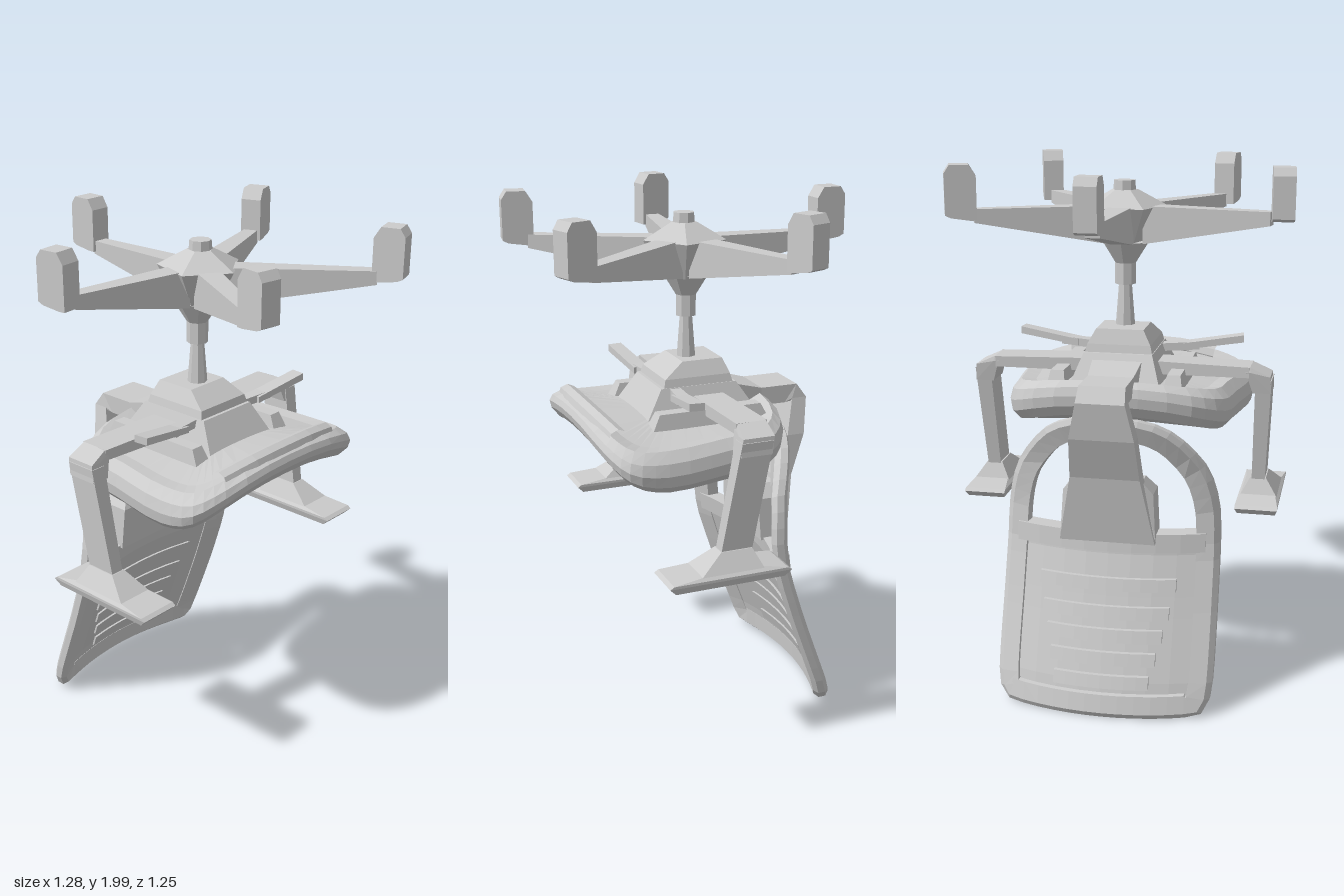
import * as THREE from 'three';
import { ConvexGeometry } from 'three/addons/geometries/ConvexGeometry.js';

const V = (x, y, z) => new THREE.Vector3(x, y, z);
const mat = new THREE.MeshStandardMaterial({ color: 0xcccccc, flatShading: true });

function add(parent, name, geometry) {
  const m = new THREE.Mesh(geometry, mat);
  m.name = name;
  parent.add(m);
  return m;
}

function group(parent, name) {
  const g = new THREE.Group();
  g.name = name;
  parent.add(g);
  return g;
}

// Horizontal rectangle of corners: centre x, y, z and half sizes
const rect = (x, y, z, hx, hz) => [[-1, -1], [1, -1], [1, 1], [-1, 1]].map(([a, b]) => V(x + a * hx, y, z + b * hz));
// Upright rectangle across a bar that runs in direction d
const across = (p, d, hw, hh) => [[-1, -1], [1, -1], [1, 1], [-1, 1]]
  .map(([a, b]) => V(p.x - d.z * a * hw, p.y + b * hh, p.z + d.x * a * hw));
const hull = (...rings) => new ConvexGeometry(rings.flat());

function bar(p, q, hw0, hh0, hw1, hh1) {
  const d = V(q.x - p.x, 0, q.z - p.z).normalize();
  return hull(across(p, d, hw0, hh0), across(q, d, hw1, hh1));
}

// Surface through a list of closed rings
function skin(rings, closed = false) {
  const n = rings[0].length, index = [];
  const last = closed ? rings.length : rings.length - 1;
  for (let r = 0; r < last; r++) {
    for (let i = 0; i < n; i++) {
      const a = r * n + i, b = r * n + (i + 1) % n;
      const s = (r + 1) % rings.length, c = s * n + i, d = s * n + (i + 1) % n;
      index.push(a, c, b, b, c, d);
    }
  }
  const g = new THREE.BufferGeometry().setFromPoints(rings.flat());
  g.setIndex(index);
  g.computeVertexNormals();
  return g;
}

// Depth of the backrest: reclined, with sides wrapping forward
const recline = [[0, -0.51], [0.1, -0.49], [0.4, -0.38], [0.6, -0.315], [0.75, -0.295], [0.92, -0.3], [1.2, -0.37]];
function backZ(x, y) {
  let i = 0;
  while (i < recline.length - 2 && y > recline[i + 1][0]) i++;
  const [y0, z0] = recline[i], [y1, z1] = recline[i + 1];
  return z0 + (z1 - z0) * (y - y0) / (y1 - y0) + 0.08 * (x / 0.41) ** 2;
}

// Box that follows the backrest surface
function bentBox(w, h, d, x, y, z) {
  const g = new THREE.BoxGeometry(w, h, d, 8, Math.max(1, Math.round(h / 0.08)), 1).translate(x, y, z);
  const p = g.attributes.position;
  for (let i = 0; i < p.count; i++) p.setZ(i, p.getZ(i) + backZ(p.getX(i), p.getY(i)));
  g.computeVertexNormals();
  return g;
}

function buildBase(root) {
  const base = group(root, 'starBase');
  add(base, 'hub', new THREE.CylinderGeometry(0.16, 0.075, 0.14, 5).translate(0.005, 1.77, 0.01));
  add(base, 'hubCrown', new THREE.CylinderGeometry(0.05, 0.16, 0.06, 5).translate(0.005, 1.87, 0.01));
  add(base, 'hubCap', new THREE.CylinderGeometry(0.04, 0.045, 0.06, 8).translate(0.005, 1.905, 0.01));
  // Caster: x, z and heading
  const casters = [
    [0.01, -0.565, 0, -1], [0.565, -0.205, 0.94, -0.34], [0.415, 0.545, 0.3, 0.95],
    [-0.315, 0.545, -0.15, 0.99], [-0.59, -0.08, -0.12, -0.99]];
  for (const [x, z, dx, dz] of casters) {
    const d = V(dx, 0, dz).normalize();
    const r = Math.hypot(x, z), k = (r - 0.04) / r;
    add(base, 'baseArm', bar(V(x / r * 0.08, 1.775, z / r * 0.08 + 0.01), V(x * k, 1.815, z * k), 0.045, 0.07, 0.027, 0.025));
    const rings = [[-0.05, 1.80, 1.96], [-0.025, 1.80, 2.0], [0.045, 1.81, 2.0], [0.065, 1.82, 1.97]].map(([s, lo, hi]) =>
      across(V(x + d.x * s, (lo + hi) / 2, z + d.z * s), d, 0.04, (hi - lo) / 2));
    add(base, 'caster', hull(...rings));
  }
}

function buildColumn(root) {
  const profile = [[0, 1.36], [0.04, 1.36], [0.025, 1.55], [0.04, 1.55], [0.04, 1.63], [0.09, 1.71], [0, 1.71]];
  add(root, 'column', new THREE.LatheGeometry(profile.map(([r, y]) => new THREE.Vector2(r, y)), 8));
  const mech = group(root, 'mechanism');
  add(mech, 'mechanismTop', hull(rect(0, 1.3, 0, 0.13, 0.14), rect(0, 1.34, 0, 0.12, 0.13), rect(0, 1.395, -0.03, 0.09, 0.08)));
  add(mech, 'mechanismBody', hull(rect(0, 1.2, 0, 0.17, 0.22), rect(0, 1.31, 0, 0.13, 0.15)));
  for (const s of [-1, 1]) {
    add(mech, 'seatRail', hull(rect(s * 0.22, 1.17, 0, 0.04, 0.24), rect(s * 0.22, 1.25, 0, 0.025, 0.2)));
    // Lever with a flat paddle
    add(mech, 'lever', bar(V(s * 0.1, 1.29, 0.09), V(s * 0.27, 1.3, 0.115), 0.02, 0.015, 0.025, 0.015));
    add(mech, 'leverPaddle', bar(V(s * 0.2, 1.295, 0.11), V(s * 0.44, 1.33, 0.135), 0.03, 0.012, 0.028, 0.014));
  }
}

function buildSeat(root) {
  const seat = group(root, 'seat');
  const outline = new THREE.CatmullRomCurve3([
    [0.44, 0], [0.47, 0.25], [0.45, 0.39], [0.34, 0.445], [0, 0.46], [-0.34, 0.445], [-0.45, 0.39], [-0.47, 0.25],
    [-0.44, 0], [-0.41, -0.17], [-0.3, -0.27], [0, -0.31], [0.3, -0.27], [0.41, -0.17],
  ].map(([x, z]) => V(x, 0, z)), true).getPoints(42).slice(0, -1);
  const layers = [[0, 1.07], [0.4, 1.068], [0.75, 1.068], [0.92, 1.085], [0.985, 1.125], [1, 1.17], [0.975, 1.21], [0.9, 1.235], [0.78, 1.215], [0.4, 1.21], [0, 1.21]];
  const rings = layers.map(([s, h]) => outline.map(p => {
    const x = p.x * s, z = 0.05 + (p.z - 0.05) * s;
    const lip = Math.max(0, (z - 0.2) / 0.26) ** 2, heel = Math.max(0, (-z - 0.12) / 0.2) ** 2;
    const y = h - 0.075 * Math.abs(x / 0.47) ** 2.5 + (lip * 0.45 + heel * 0.2) * (1.25 - h);
    return V(x, y, z);
  }));
  add(seat, 'cushion', skin(rings));
  // Rolled front edge
  const roll = new THREE.CatmullRomCurve3([V(-0.3, 1.2, 0.38), V(-0.15, 1.222, 0.4), V(0.15, 1.222, 0.4), V(0.3, 1.2, 0.38)]);
  add(seat, 'frontRoll', new THREE.TubeGeometry(roll, 8, 0.038, 8));
}

function buildArmrest(root, s) {
  const arm = group(root, s > 0 ? 'leftArmrest' : 'rightArmrest');
  const piece = (name, ...rings) => add(arm, name, hull(...rings));
  add(arm, 'armCrossbar', bar(V(s * 0.1, 1.25, -0.03), V(s * 0.49, 1.25, -0.05), 0.06, 0.025, 0.06, 0.02));
  piece('armElbow', rect(s * 0.485, 1.25, -0.05, 0.01, 0.06), rect(s * 0.48, 1.27, -0.05, 0.01, 0.055),
    rect(s * 0.545, 1.235, -0.045, 0.02, 0.06), rect(s * 0.535, 1.17, -0.035, 0.035, 0.06));
  piece('armUpright', rect(s * 0.54, 1.22, -0.04, 0.03, 0.06), rect(s * 0.525, 0.8, 0.03, 0.025, 0.06));
  piece('padNeck', rect(s * 0.525, 0.82, 0.03, 0.03, 0.06), rect(s * 0.53, 0.755, 0.06, 0.07, 0.12));
  piece('armPad', rect(s * 0.53, 0.76, 0.04, 0.065, 0.1), rect(s * 0.53, 0.745, 0.07, 0.08, 0.22),
    rect(s * 0.53, 0.735, 0.07, 0.08, 0.235), rect(s * 0.53, 0.71, 0.07, 0.072, 0.21));
}

function buildBackrest(root) {
  const back = group(root, 'backrest');
  // Rounded frame around the panel
  const half = [[0.3, 0.012], [0.385, 0.035], [0.41, 0.12], [0.412, 0.4], [0.405, 0.74], [0.36, 0.91], [0.25, 1.05], [0.12, 1.11]];
  const points = [...half, ...half.slice().reverse().map(([x, y]) => [-x, y])].map(([x, y]) => V(x, y, 0));
  const curve = new THREE.CatmullRomCurve3(points, true, 'catmullrom', 0.4);
  const rings = [];
  for (let i = 0; i < 56; i++) {
    const p = curve.getPointAt(i / 56), t = curve.getTangentAt(i / 56);
    rings.push([[0, 0.015], [0.02, 0.035], [0.09, 0.025], [0.085, -0.025], [0.02, -0.03], [0, -0.015]].map(([inset, z]) => {
      const x = p.x - t.y * inset, y = p.y + t.x * inset;
      return V(x, y, z + backZ(x, y));
    }));
  }
  const frame = skin(rings, true);
  add(back, 'backFrame', frame);
  add(back, 'backPanel', bentBox(0.68, 0.6, 0.03, 0, 0.36, 0.005));
  [0.14, 0.22, 0.3, 0.38, 0.48].forEach((y, i) => add(back, 'panelSlat', bentBox(0.36 + 0.04 * i, 0.045, 0.055, 0, y, 0.002)));
  add(back, 'lumbarBar', bentBox(0.72, 0.07, 0.07, 0, 0.635, 0));
  add(back, 'lumbarBlock', hull(rect(0, 0.66, -0.295, 0.18, 0.05), rect(0, 0.83, -0.285, 0.17, 0.05), rect(0, 0.88, -0.305, 0.13, 0.04)));
  // Support bracket from the mechanism over the seat's rear edge: y, z, half width, offsets to the other face
  const path = [[1.31, -0.08, 0.1, -0.09, 0], [1.255, -0.28, 0.085, -0.07, 0], [1.255, -0.43, 0.085, -0.07, 0.05], [1.2, -0.47, 0.09, 0, 0.06],
    [1.06, -0.45, 0.12, 0, 0.07], [0.9, -0.395, 0.13, 0, 0.07], [0.64, -0.355, 0.18, 0, 0.06]];
  const sections = path.map(([y, z, w, dy, dz]) => [V(-w, y, z), V(w, y, z), V(-w, y + dy, z + dz), V(w, y + dy, z + dz)]);
  for (let i = 1; i < sections.length; i++) add(back, 'supportBracket', hull(sections[i - 1], sections[i]));
}

export function createModel() {
  const root = new THREE.Group();
  root.name = 'upturnedOfficeChair';
  buildBase(root);
  buildColumn(root);
  buildSeat(root);
  for (const s of [-1, 1]) buildArmrest(root, s);
  buildBackrest(root);
  return root;
}
